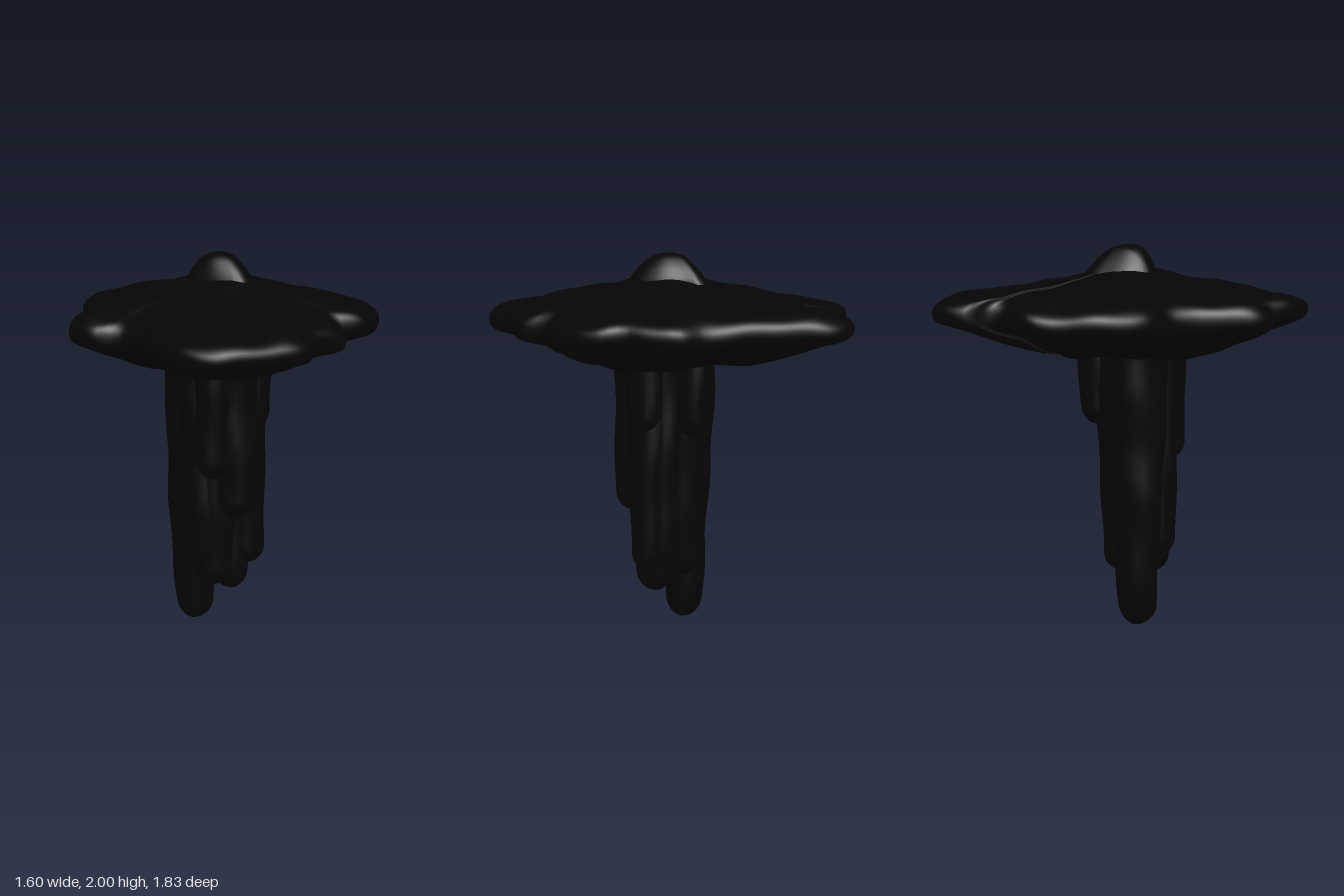
import * as THREE from 'three';

const black = new THREE.MeshStandardMaterial({ color: 0x050505 });
black.name = 'soot black';

// Skin closed rings of points, ordered from top to bottom, with smooth normals
function loft(rings) {
  const n = rings[0].length, index = [];
  for (let i = 0; i < rings.length - 1; i++) {
    for (let j = 0; j < n; j++) {
      const k = (j + 1) % n;
      const a = i * n + j, b = i * n + k, c = a + n, d = b + n;
      index.push(a, b, c, b, d, c);
    }
  }
  const geo = new THREE.BufferGeometry();
  geo.setAttribute('position', new THREE.Float32BufferAttribute(rings.flat(2), 3));
  geo.setIndex(index);
  geo.computeVertexNormals();
  return geo;
}

// Sweep an outline of [x, z] corners through a [scale, height] profile;
// the outline fades to a circle towards the centre, and lift(x, z, y) adds relief
function sweep(corners, profile, count, steps, radius, lift) {
  const curve = new THREE.CatmullRomCurve3(corners.map(([x, z]) => new THREE.Vector3(x, 0, z)), true);
  const edge = curve.getSpacedPoints(count).slice(0, count);
  const line = new THREE.SplineCurve(profile.map(([t, y]) => new THREE.Vector2(t, y))).getPoints(steps);
  return loft(line.map(({ x: t, y }) => edge.map((p) => {
    const s = t * THREE.MathUtils.lerp(radius / p.length(), 1, Math.min(1, t));
    const x = p.x * s, z = p.z * s;
    return [x, y + lift(x, z, y), z];
  })));
}

// Raised mounds on the cap: x, z, radius, height
const mounds = [
  [0.58, -0.56, 0.14, 0.03], [0.02, 0.36, 0.1, 0.03], [-0.38, 0.5, 0.16, 0.02],
  [0.4, 0.05, 0.13, 0.015], [-0.7, -0.1, 0.08, 0.02], [-0.3, 0.78, 0.1, 0.015],
];

// Soft lumps all over the cap, and mounds on its upper side
function capRelief(x, z, y) {
  let h = 0.01 * Math.sin(9 * x + 2 * z + 1) * Math.cos(8 * z - 3 * x)
    + 0.007 * Math.sin(17 * x - 6 * z) * Math.sin(15 * z + 5 * x + 2);
  h += 0.015 * (x - z);
  const upper = THREE.MathUtils.clamp((y - 1.65) / 0.08, 0, 1);
  for (const [mx, mz, r, height] of mounds) {
    h += upper * height * Math.exp(-((x - mx) ** 2 + (z - mz) ** 2) / (r * r));
  }
  return h;
}

// Wide lobed cap with a blunt rim
function capGeometry() {
  return sweep([
    [0.8, 0.05], [0.76, 0.2], [0.71, 0.3], [0.71, 0.4], [0.66, 0.5], [0.58, 0.57], [0.5, 0.61],
    [0.41, 0.64], [0.33, 0.62], [0.25, 0.59], [0.21, 0.65], [0.18, 0.74], [0.12, 0.79], [-0.1, 0.81],
    [-0.18, 0.89], [-0.27, 0.91], [-0.4, 0.88], [-0.55, 0.83], [-0.66, 0.77], [-0.73, 0.65],
    [-0.73, 0.4], [-0.65, 0.22], [-0.67, 0.08], [-0.77, 0.01], [-0.8, -0.12], [-0.76, -0.21],
    [-0.62, -0.3], [-0.52, -0.36], [-0.44, -0.46], [-0.4, -0.64], [-0.25, -0.79], [-0.1, -0.86],
    [0.07, -0.92], [0.19, -0.86], [0.26, -0.77], [0.28, -0.69], [0.36, -0.67], [0.42, -0.69],
    [0.49, -0.79], [0.6, -0.81], [0.69, -0.77], [0.76, -0.66], [0.74, -0.35], [0.75, -0.08],
  ], [
    [0.001, 1.875], [0.22, 1.865], [0.4, 1.825], [0.58, 1.79], [0.78, 1.753], [0.92, 1.728], [0.985, 1.695],
    [1, 1.65], [0.98, 1.61], [0.9, 1.577], [0.78, 1.537], [0.65, 1.478], [0.5, 1.455], [0.3, 1.467], [0.001, 1.47],
  ], 180, 60, 0.72, capRelief);
}

// Rounded knob on top of the cap, lower at the back
function knobGeometry() {
  return sweep([
    [0.18, -0.08], [0.15, 0.07], [0.08, 0.18], [0, 0.21], [-0.06, 0.15], [-0.12, 0.04],
    [-0.15, -0.08], [-0.07, -0.17], [0.06, -0.21], [0.16, -0.21], [0.2, -0.14],
  ], [
    [0.001, 1.995], [0.25, 1.99], [0.5, 1.97], [0.72, 1.932], [0.88, 1.89], [1, 1.84], [1, 1.78],
  ], 48, 24, 0.16, (x, z) => 0.1 * x - 0.35 * Math.max(0, -z - 0.08));
}

// Hanging root: rounded bottom end, lumpy sides, widening towards the top
function rootGeometry([x, z, rBottom, rTop, bottom], seed) {
  const rings = [], top = 1.56, steps = 48, sides = 28;
  for (let i = 0; i <= steps; i++) {
    const u = Math.pow(1 - i / steps, 1.5);
    const y = bottom + (top - bottom) * u;
    const end = Math.min(1, (y - bottom) / 0.1);
    const round = Math.max(0.001, Math.sqrt(1 - (1 - end) ** 2));
    const r = THREE.MathUtils.lerp(rBottom, rTop, Math.pow(u, 0.6)) * round;
    const ring = [];
    for (let j = 0; j < sides; j++) {
      const a = (j / sides) * Math.PI * 2;
      const wave = 1 + 0.04 * Math.sin(y * 13 + seed * 2 + 2 * Math.sin(a)) + 0.04 * Math.sin(3 * a + y * 5 + seed);
      ring.push([x + Math.cos(a) * r * wave, y, z + Math.sin(a) * r * wave]);
    }
    rings.push(ring);
  }
  return loft(rings);
}

export function createModel() {
  const model = new THREE.Group();
  model.name = 'rootedCap';
  const add = (name, geometry, parent = model) => {
    const mesh = new THREE.Mesh(geometry, black);
    mesh.name = name;
    parent.add(mesh);
  };

  add('cap', capGeometry());
  add('knob', knobGeometry());

  // Trunk of merged roots: x, z, bottom radius, top radius, bottom height
  const trunk = new THREE.Group();
  trunk.name = 'trunk';
  model.add(trunk);
  [
    [-0.08, -0.1, 0.083, 0.162, 0],
    [0.03, 0.07, 0.085, 0.13, 0.2],
    [-0.08, 0.07, 0.09, 0.12, 0.25],
    [0.03, -0.07, 0.08, 0.135, 0.28],
    [0.1, 0.115, 0.088, 0.11, 0.34],
    [-0.13, 0.03, 0.1, 0.115, 0.36],
    [-0.02, 0.17, 0.1, 0.11, 0.64],
    [-0.14, 0.13, 0.085, 0.1, 0.86],
    [0.15, -0.11, 0.08, 0.095, 1.07],
    [0.13, 0.13, 0.08, 0.105, 1.08],
    [0.09, 0.04, 0.085, 0.11, 0.34],
  ].forEach((root, i) => add('root' + (i + 1), rootGeometry(root, i), trunk));

  return model;
}
